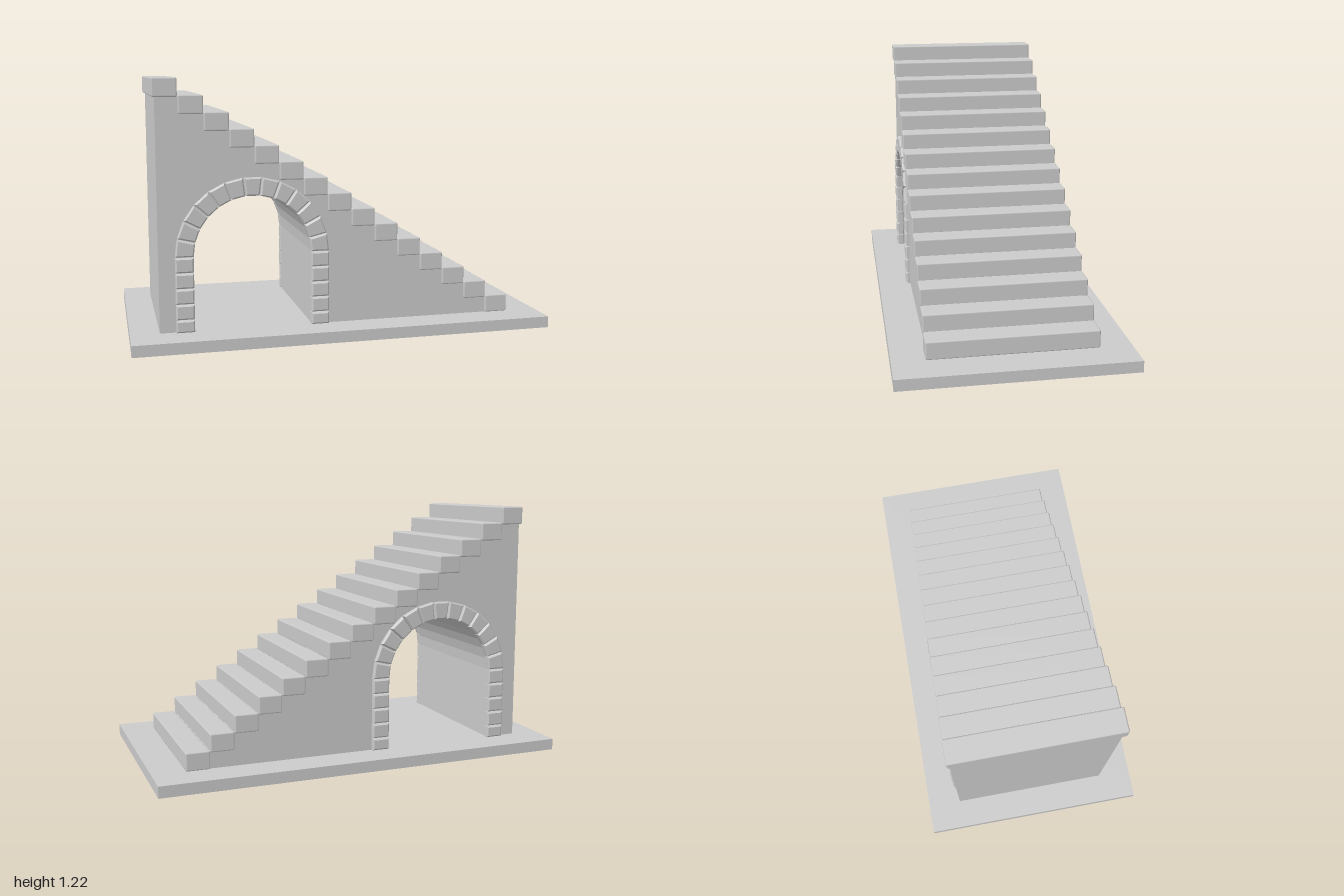
import * as THREE from 'three';
import { RoundedBoxGeometry } from 'three/addons/geometries/RoundedBoxGeometry.js';

const BASE_H = 0.054;
const STEPS = 15, RUN = 0.115, RISE = 0.077;
const ARCH = { x: -0.43, y: 0.405, inner: 0.275, outer: 0.36 };
const WALL_HALF = 0.38;

const material = new THREE.MeshStandardMaterial({ color: 0xcccccc });

function addMesh(parent, name, geometry, x = 0, y = 0, z = 0) {
  const mesh = new THREE.Mesh(geometry, material);
  mesh.name = name;
  mesh.position.set(x, y, z);
  parent.add(mesh);
  return mesh;
}

// Side wall outline with the tunnel cut out from below, extruded across the stair
function wallGeometry() {
  const r = ARCH.inner + 0.004;
  const s = new THREE.Shape();
  s.moveTo(-0.865, BASE_H);
  s.lineTo(ARCH.x - r, BASE_H);
  s.lineTo(ARCH.x - r, ARCH.y);
  s.absarc(ARCH.x, ARCH.y, r, Math.PI, 0, true);
  s.lineTo(ARCH.x + r, BASE_H);
  s.lineTo(0.83, BASE_H);
  s.lineTo(0.83, 0.07);
  s.lineTo(-0.865, 1.2);
  s.closePath();
  const g = new THREE.ExtrudeGeometry(s, { depth: WALL_HALF * 2, bevelEnabled: false, curveSegments: 8 });
  return g.translate(0, 0, -WALL_HALF);
}

// Bevelled stone from a four-cornered outline, centred on z
function stoneGeometry(corners) {
  const bevel = 0.007, depth = 0.04;
  const s = new THREE.Shape(corners.map(([x, y]) => new THREE.Vector2(x, y)));
  const g = new THREE.ExtrudeGeometry(s, {
    depth: depth - 2 * bevel, bevelEnabled: true, bevelSegments: 1,
    bevelThickness: bevel, bevelSize: bevel, bevelOffset: -bevel,
  });
  return g.translate(0, 0, -(depth - 2 * bevel) / 2);
}

// All stones of one arch surround, as outlines
function archStones() {
  const list = [], { x, y, inner, outer } = ARCH;
  const count = 13, joint = 0.002;
  for (let i = 0; i < count; i++) {
    const a = (i / count) * Math.PI, b = ((i + 1) / count) * Math.PI;
    // Corner pulled sideways off the joint line so the gap stays parallel
    const at = (r, t, side) => [
      x + r * Math.cos(t) - side * joint * Math.sin(t),
      y + r * Math.sin(t) + side * joint * Math.cos(t),
    ];
    list.push([at(inner, a, 1), at(outer, a, 1), at(outer, b, -1), at(inner, b, -1)]);
  }
  const pitch = 0.073;
  for (const side of [-1, 1]) {
    for (let top = y; top > BASE_H + 0.02; top -= pitch) {
      const low = Math.max(top - pitch + joint, BASE_H), high = top - joint;
      const xa = x + side * inner, xb = x + side * outer;
      const l = Math.min(xa, xb), r = Math.max(xa, xb);
      list.push([[l, low], [r, low], [r, high], [l, high]]);
    }
  }
  return list;
}

export function createModel() {
  const model = new THREE.Group();
  model.name = 'archedStaircase';

  addMesh(model, 'basePlate', new THREE.BoxGeometry(2, BASE_H, 1.085), 0, BASE_H / 2, 0);
  addMesh(model, 'wall', wallGeometry());

  // Stair treads, from the bottom up
  const treads = new THREE.Group();
  treads.name = 'treads';
  const treadGeometry = new RoundedBoxGeometry(0.113, 0.086, 0.785, 1, 0.007);
  for (let i = 0; i < STEPS; i++) {
    addMesh(treads, 'tread', treadGeometry, 0.789 - i * RUN, 0.097 + i * RISE, 0);
  }
  model.add(treads);

  // Stone surround on both faces of the tunnel
  const stones = archStones().map(stoneGeometry);
  for (const side of [1, -1]) {
    const surround = new THREE.Group();
    surround.name = side > 0 ? 'frontArchSurround' : 'backArchSurround';
    stones.forEach((g) => addMesh(surround, 'archStone', g));
    surround.position.z = side * 0.38;
    model.add(surround);
  }
  return model;
}
